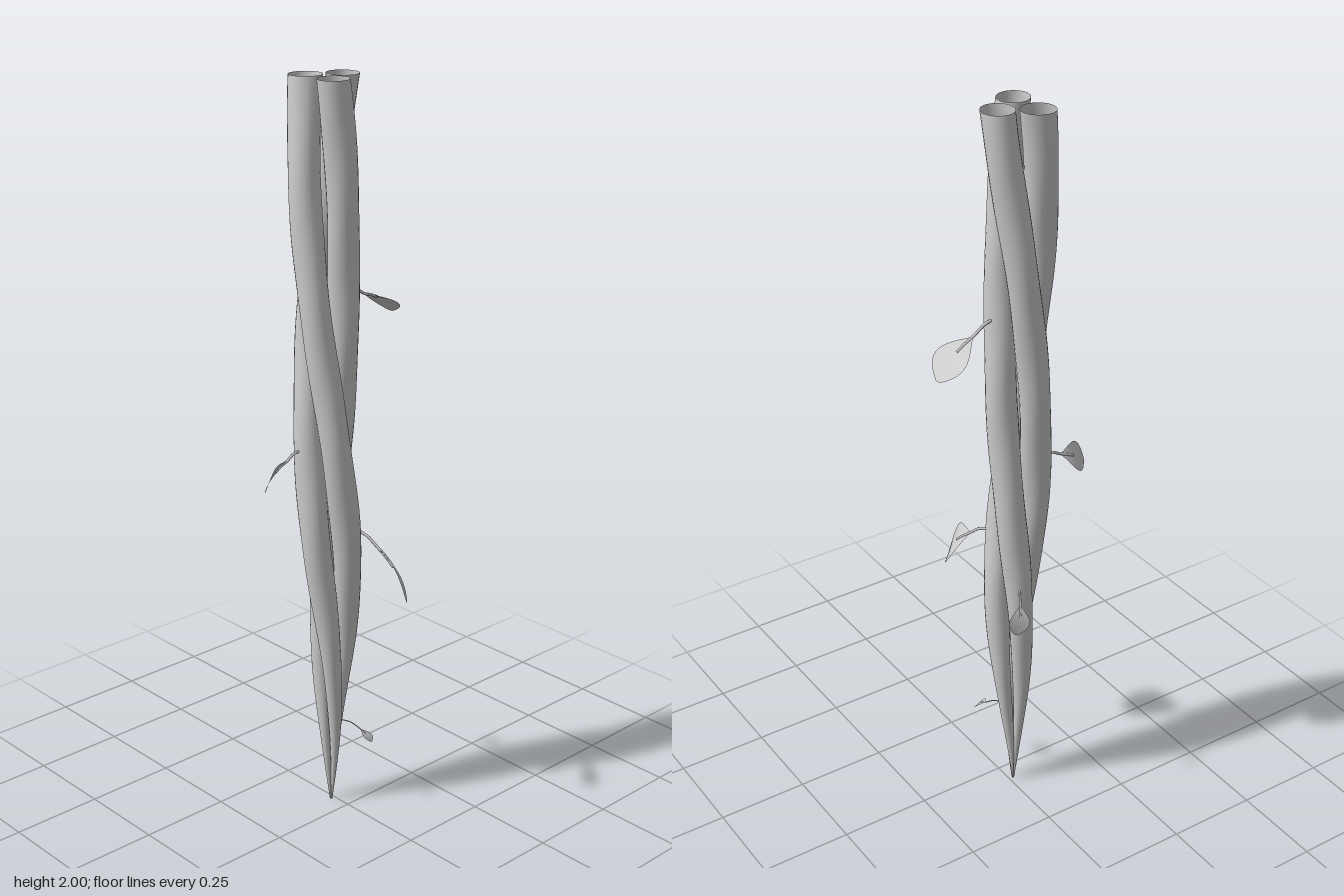
import * as THREE from 'three';
import { mergeVertices } from 'three/addons/utils/BufferGeometryUtils.js';

const material = new THREE.MeshStandardMaterial({ color: 0xcccccc, side: THREE.DoubleSide });
const vec = (p) => new THREE.Vector3(...p);

// Gently wandering centre line of the bundle, evenly spaced in height
const axis = new THREE.CatmullRomCurve3([
  [-0.012, 0, -0.055], [-0.006, 0.5, -0.056], [-0.022, 1, -0.048],
  [-0.02, 1.5, -0.065], [-0.004, 2, -0.07],
].map(vec));
const TWIST = 2.5; // radians per unit of height

function smooth(geometry) {
  geometry.deleteAttribute('uv');
  geometry.deleteAttribute('normal');
  const merged = mergeVertices(geometry, 1e-6);
  merged.computeVertexNormals();
  return merged;
}

// One open-topped strand, winding round the axis and tapering to the tip
function makeStrand(topAngle, index) {
  const geometry = new THREE.CylinderGeometry(1, 1, 2, 24, 72, true);
  const pos = geometry.attributes.position;
  for (let i = 0; i < pos.count; i++) {
    const y = pos.getY(i) + 1;
    const c = axis.getPoint(y / 2);
    const taper = 0.04 + 0.96 * Math.sin(Math.min(1, y / 0.95) * Math.PI / 2);
    const flare = 1 + 0.1 * Math.max(0, y - 1.5);
    const angle = topAngle + TWIST * (2 - y);
    const turn = Math.atan2(pos.getZ(i), pos.getX(i));
    const lump = 1 + 0.025 * Math.sin(y * 17 + index * 2 + 2 * turn);
    const r = 0.04 * taper * flare * lump;
    const d = 0.049 * taper * (1 + 0.25 * Math.max(0, y - 1.5));
    pos.setXYZ(i,
      c.x + Math.sin(angle) * d + pos.getX(i) * r, y,
      c.z + Math.cos(angle) * d + pos.getZ(i) * r);
  }
  const mesh = new THREE.Mesh(smooth(geometry), material);
  mesh.name = 'strand' + (index + 1);
  return mesh;
}

// Broad blade from base to tip, arched and slightly cupped, on a thin stem
function makeLeaf({ name, root, base, tip, side, bend = 0.08 }) {
  const [r, b, t, s] = [root, base, tip, side].map(vec);
  const along = t.clone().sub(b);
  const length = along.length();
  const normal = s.clone().cross(along).normalize();
  if (normal.y < 0) normal.negate();
  const point = (u, v) => {
    const half = 0.5 * Math.pow(Math.max(0, Math.sin(Math.PI * Math.pow(u, 1.3) * 0.97)), 0.85);
    const lift = length * bend * (Math.sin(Math.PI * u) + 1.2 * v * v * half);
    return b.clone().addScaledVector(along, u)
      .addScaledVector(s, v * 2 * half).addScaledVector(normal, lift);
  };

  const geometry = new THREE.PlaneGeometry(1, 1, 8, 14);
  const pos = geometry.attributes.position;
  for (let i = 0; i < pos.count; i++) {
    const p = point(pos.getY(i) + 0.5, pos.getX(i));
    pos.setXYZ(i, p.x, p.y, p.z);
  }
  const blade = new THREE.Mesh(smooth(geometry), material);
  blade.name = 'blade';

  const middle = r.clone().lerp(b, 0.5).add(new THREE.Vector3(0, 0.006, 0));
  const path = new THREE.CatmullRomCurve3([r, middle, b, point(0.2, 0), point(0.42, 0)]);
  const stem = new THREE.Mesh(
    new THREE.TubeGeometry(path, 16, Math.min(0.004, length * 0.035), 6), material);
  stem.name = 'stem';

  const leaf = new THREE.Group();
  leaf.name = name;
  leaf.add(blade, stem);
  return leaf;
}

export function createModel() {
  const model = new THREE.Group();
  model.name = 'twistedVine';

  [-25, 92, 207].forEach((deg, i) => model.add(makeStrand(THREE.MathUtils.degToRad(deg), i)));

  // side spans the full width of the blade
  [
    { name: 'leftLeaf', root: [0.045, 1.46, -0.045], base: [0.11, 1.435, -0.055],
      tip: [0.232, 1.36, -0.085], side: [0.01, 0, 0.115] },
    { name: 'rightLeaf', root: [-0.09, 1.05, -0.08], base: [-0.14, 1.035, -0.077],
      tip: [-0.232, 0.98, -0.055], side: [-0.02, 0.06, 0.05] },
    { name: 'frontLeaf', root: [0.03, 0.82, 0.01], base: [0.046, 0.787, 0.062],
      tip: [0.05, 0.662, 0.172], side: [0.078, -0.06, -0.06] },
    { name: 'backLeaf', root: [0.015, 0.7, -0.12], base: [0.03, 0.668, -0.148],
      tip: [0.06, 0.598, -0.174], side: [0.058, 0.02, 0.01] },
    { name: 'smallLeaf', root: [0.002, 0.255, -0.025], base: [0.027, 0.236, 0.022],
      tip: [0.036, 0.207, 0.057], side: [0.036, -0.008, -0.008] },
  ].forEach((leaf) => model.add(makeLeaf(leaf)));

  return model;
}
